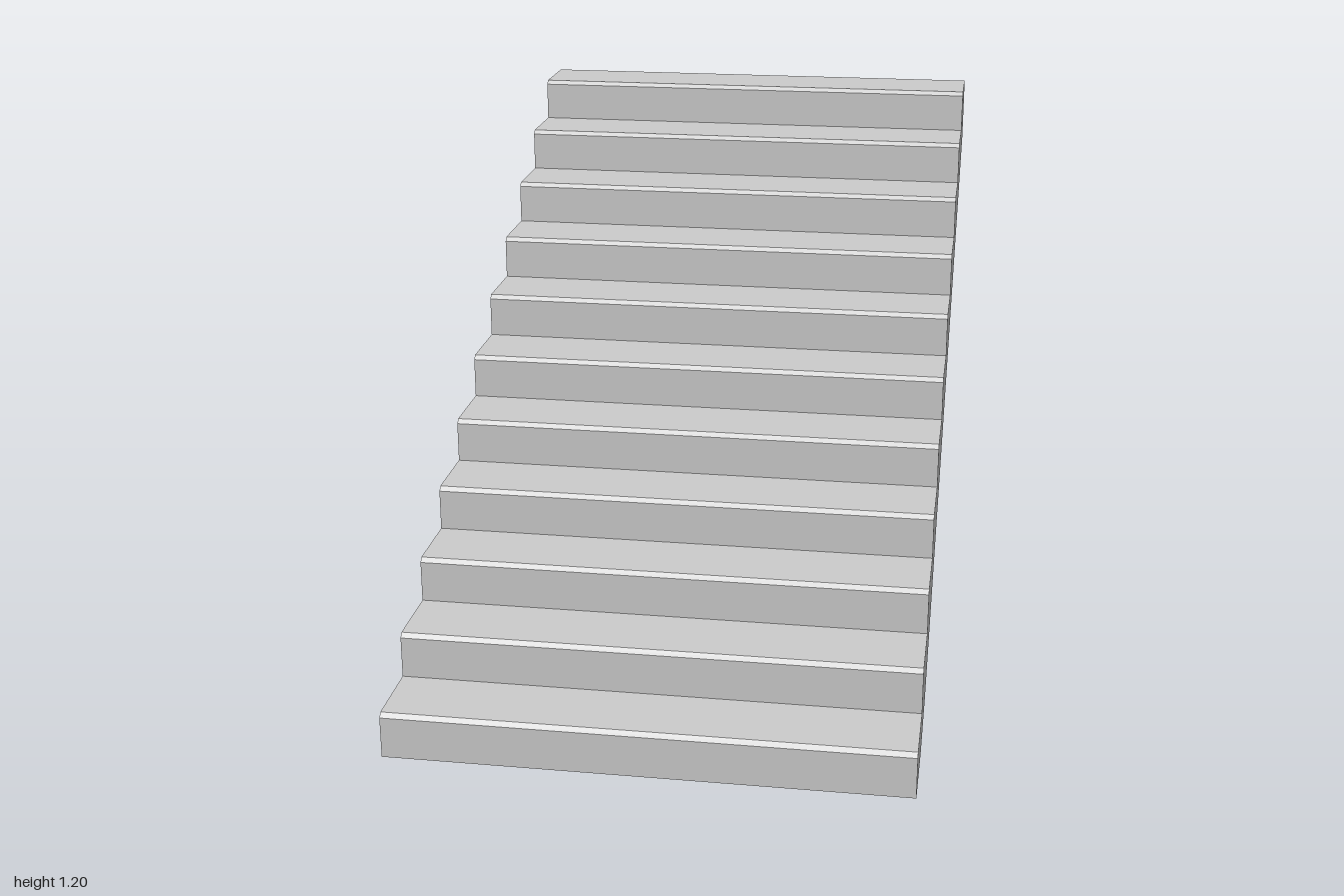
import * as THREE from 'three';

export function createModel() {
  const steps = 11, width = 1.208, run = 2 / steps, rise = 1.2 / steps, bevel = 0.01;

  // Side profile, drawn with z across and y up
  const profile = new THREE.Shape();
  profile.moveTo(0.805, 0);
  profile.lineTo(1, 0);

  // Risers and treads with a chamfered nosing on each step
  for (let i = 0; i < steps; i++) {
    const z = 1 - i * run, y = (i + 1) * rise;
    profile.lineTo(z, y - bevel);
    profile.lineTo(z - bevel, y);
    profile.lineTo(z - run, y);
  }

  // Back edge and sloping underside
  profile.lineTo(-1, 1.034);
  profile.lineTo(0.638, 0.051);
  profile.closePath();

  const geometry = new THREE.ExtrudeGeometry(profile, { depth: width, bevelEnabled: false });
  geometry.translate(0, 0, -width / 2);
  geometry.rotateY(-Math.PI / 2);

  const stairs = new THREE.Mesh(
    geometry,
    new THREE.MeshStandardMaterial({ color: 0xcccccc, flatShading: true })
  );
  stairs.name = 'stairFlight';

  const model = new THREE.Group();
  model.name = 'staircase';
  model.add(stairs);
  return model;
}
